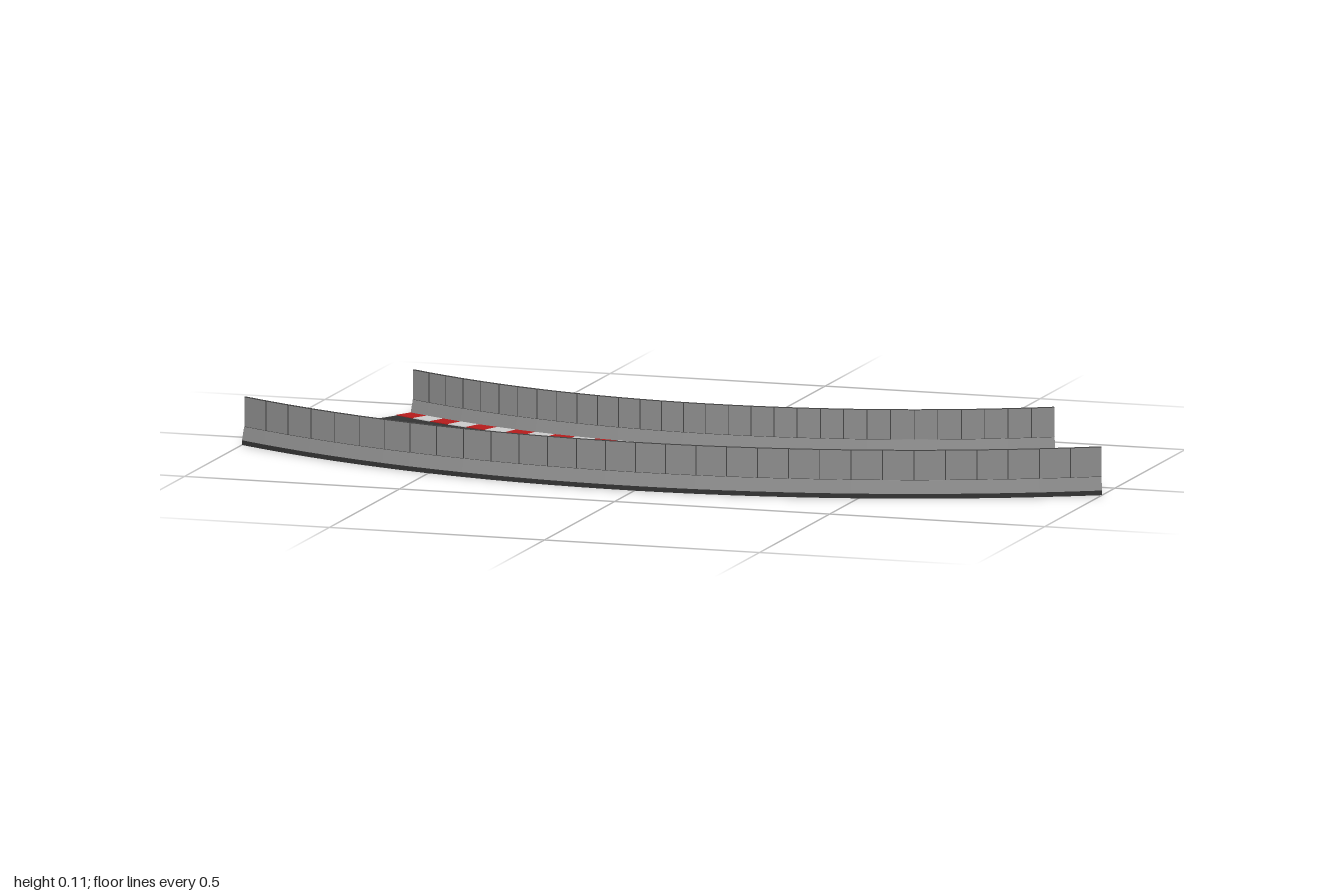
import * as THREE from 'three';

const HALF = Math.PI / 6;      // the bend spans 60 degrees
const STEPS = 30;
const STEP = (2 * HALF) / STEPS;
const CENTRE_Z = -1.641;       // centre of the bend
const R_IN = 1.48, R_OUT = 2;

// Adds a convex [radius, height] section (counter-clockwise) swept from angle a0 to a1
function sweep(out, section, a0, a1, steps) {
  const at = ([r, y], a) => [r * Math.sin(a), y, r * Math.cos(a) + CENTRE_Z];
  const tri = (a, b, c) => out.push(...a, ...b, ...c);
  const n = section.length;
  for (let s = 0; s < steps; s++) {
    const a = a0 + ((a1 - a0) * s) / steps;
    const b = a0 + ((a1 - a0) * (s + 1)) / steps;
    for (let i = 0; i < n; i++) {
      const p = section[i], q = section[(i + 1) % n];
      tri(at(p, a), at(p, b), at(q, b));
      tri(at(p, a), at(q, b), at(q, a));
    }
  }
  for (let i = 1; i < n - 1; i++) {
    tri(at(section[0], a0), at(section[i], a0), at(section[i + 1], a0));
    tri(at(section[0], a1), at(section[i + 1], a1), at(section[i], a1));
  }
}

const rect = (r0, r1, y0, y1) => [[r0, y0], [r1, y0], [r1, y1], [r0, y1]];

function toMesh(name, positions, material) {
  const g = new THREE.BufferGeometry();
  g.setAttribute('position', new THREE.Float32BufferAttribute(positions, 3));
  g.computeVertexNormals();
  const m = new THREE.Mesh(g, material);
  m.name = name;
  return m;
}

function arcMesh(name, section, material) {
  const out = [];
  sweep(out, section, -HALF, HALF, STEPS);
  return toMesh(name, out, material);
}

export function createModel() {
  const mat = (name, color) => {
    const m = new THREE.MeshStandardMaterial({ color });
    m.name = name;
    return m;
  };
  const asphalt = mat('asphalt', 0x333333);
  const concrete = mat('concrete', 0x8c8c8c);
  const red = mat('red', 0xb71c1c);
  const white = mat('white', 0xcccccc);
  const darkMetal = mat('darkMetal', 0x444444);

  const model = new THREE.Group();
  model.name = 'curvedTrack';
  model.add(arcMesh('roadSlab', rect(R_IN, R_OUT, 0, 0.0105), asphalt));

  // Striped kerbs beside each barrier
  const kerb = (name, r0, r1) => {
    const group = new THREE.Group();
    group.name = name;
    const stripes = [[], []];
    for (let i = 0; i < STEPS; i++) {
      const a = -HALF + i * STEP;
      sweep(stripes[i % 2], rect(r0, r1, 0.0095, 0.0122), a, a + STEP, 1);
    }
    group.add(toMesh('redStripes', stripes[0], red));
    group.add(toMesh('whiteStripes', stripes[1], white));
    model.add(group);
  };
  kerb('innerKerb', 1.495, 1.541);
  kerb('outerKerb', 1.931, 1.985);

  // Barriers: sloped footing, thin wall, joints between panels and edge rails
  const barrier = (name, r) => {
    const group = new THREE.Group();
    group.name = name;
    group.add(arcMesh('footing',
      [[r - 0.0095, 0.01], [r + 0.0095, 0.01], [r + 0.003, 0.04], [r - 0.003, 0.04]], concrete));
    group.add(arcMesh('wall', rect(r - 0.0018, r + 0.0018, 0.038, 0.107), concrete));
    const joints = [];
    for (let i = 1; i < STEPS; i++) {
      const a = -HALF + i * STEP, w = 0.001 / r;
      sweep(joints, rect(r - 0.0023, r + 0.0023, 0.04, 0.107), a - w, a + w, 1);
    }
    group.add(toMesh('joints', joints, darkMetal));
    group.add(arcMesh('topRail', rect(r - 0.0023, r + 0.0023, 0.1062, 0.1076), darkMetal));
    group.add(arcMesh('bottomRail', rect(r - 0.0025, r + 0.0025, 0.0395, 0.0408), darkMetal));
    model.add(group);
  };
  barrier('innerBarrier', R_IN + 0.0095);
  barrier('outerBarrier', R_OUT - 0.0095);

  return model;
}
